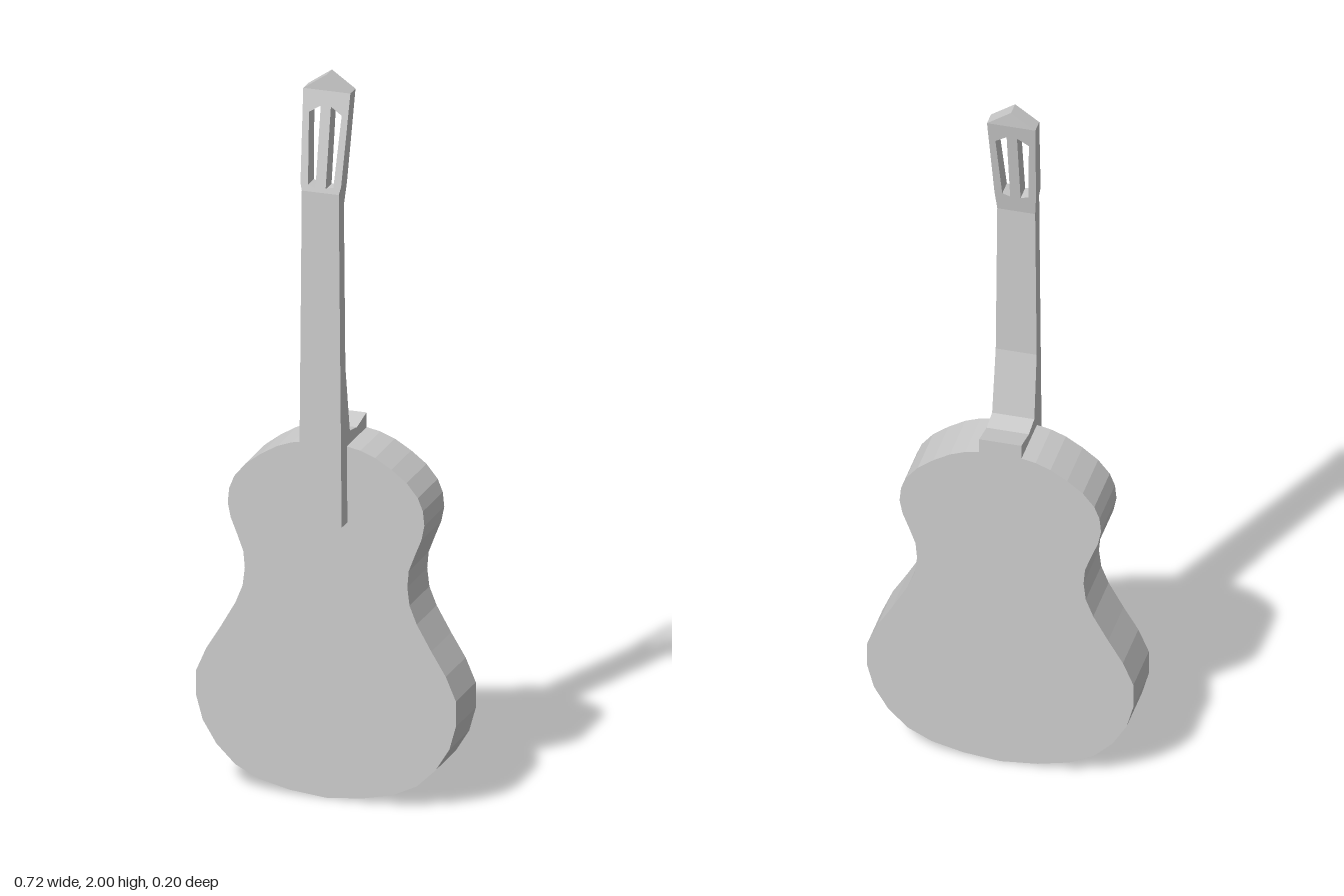
import * as THREE from 'three';

const material = new THREE.MeshStandardMaterial({ color: 0xcccccc, flatShading: true });

function shapeOf(points) {
  return new THREE.Shape(points.map(([x, y]) => new THREE.Vector2(x, y)));
}

// Closed symmetric shape from its right half, listed bottom to top
function mirrored(half) {
  const left = half.filter(([x]) => x > 0).map(([x, y]) => [-x, y]).reverse();
  return shapeOf([...half, ...left]);
}

function extrude(shape, depth) {
  return new THREE.ExtrudeGeometry(shape, { depth, bevelEnabled: false, curveSegments: 8 });
}

// Move every vertex by a rule
function reshape(geometry, rule) {
  const pos = geometry.attributes.position;
  const v = new THREE.Vector3();
  for (let i = 0; i < pos.count; i++) {
    v.fromBufferAttribute(pos, i);
    rule(v);
    pos.setXYZ(i, v.x, v.y, v.z);
  }
  geometry.computeVertexNormals();
  return geometry;
}

function part(name, geometry) {
  const mesh = new THREE.Mesh(geometry, material);
  mesh.name = name;
  return mesh;
}

function makeBody() {
  const half = [
    [0, 0], [0.1, 0.01], [0.185, 0.03], [0.25, 0.062], [0.302, 0.113], [0.34, 0.175],
    [0.358, 0.24], [0.358, 0.31], [0.33, 0.375], [0.29, 0.44], [0.25, 0.51], [0.23, 0.56],
    [0.224, 0.61], [0.228, 0.655], [0.245, 0.7], [0.263, 0.745], [0.271, 0.785],
    [0.267, 0.825], [0.253, 0.86], [0.222, 0.898], [0.18, 0.93], [0.135, 0.957],
    [0.095, 0.972], [0.055, 0.98],
  ];
  return part('body', extrude(mirrored(half), 0.155).translate(0, 0, -0.1));
}

// Disc lying on the soundboard
function makeSoundHole() {
  const disc = part('soundHole', new THREE.CircleGeometry(0.08, 16));
  disc.scale.y = 1.08;
  disc.position.set(0, 0.67, 0.056);
  return disc;
}

// Side profile in (z, y), swept across the width and narrowed towards the nut
function makeNeck() {
  const profile = shapeOf([
    [0.1, 0.77], [0.1, 1.69], [0.06, 1.65], [0.06, 1.2], [0.03, 1.015], [-0.025, 1.005],
    [-0.1, 1.02], [-0.1, 0.978], [0.05, 0.978], [0.05, 0.77],
  ].reverse());
  const geometry = extrude(profile, 2).translate(0, 0, -1).rotateY(-Math.PI / 2);
  return part('neck', reshape(geometry, (v) => {
    // rotation maps the profile's first axis to z
    const t = THREE.MathUtils.clamp((v.y - 0.77) / 0.88, 0, 1);
    v.x *= THREE.MathUtils.lerp(0.059, 0.051, t);
  }));
}

// Slotted headstock, leaning back from the nut and capped by a peak
function makeHeadstock() {
  const nut = 1.67, shoulder = 1.955;
  const plate = shapeOf([
    [-0.051, nut], [0.051, nut], [0.056, 1.71], [0.065, shoulder], [-0.065, shoulder], [-0.056, 1.71],
  ]);
  for (const s of [1, -1]) {
    const slot = [[0.014, 1.7], [0.035, 1.707], [0.045, 1.895], [0.014, 1.915]];
    plate.holes.push(new THREE.Path(slot.map(([x, y]) => new THREE.Vector2(s * x, y))));
  }
  const peak = shapeOf([[-0.065, shoulder], [0.065, shoulder], [0, 2]]);
  const geometry = extrude([plate, peak], 0.04);
  return part('headstock', reshape(geometry, (v) => {
    const front = v.z > 0.02;
    // Lower edge is mitred to meet the neck
    if (v.y < nut + 0.001) v.y = front ? 1.69 : 1.65;
    const start = front ? 1.69 : 1.65;
    const t = THREE.MathUtils.clamp((v.y - start) / (shoulder - start), 0, 1);
    v.z += 0.06 - 0.051 * t;
  }));
}

export function createModel() {
  const guitar = new THREE.Group();
  guitar.name = 'guitar';
  guitar.add(makeBody(), makeSoundHole(), makeNeck(), makeHeadstock());
  return guitar;
}
